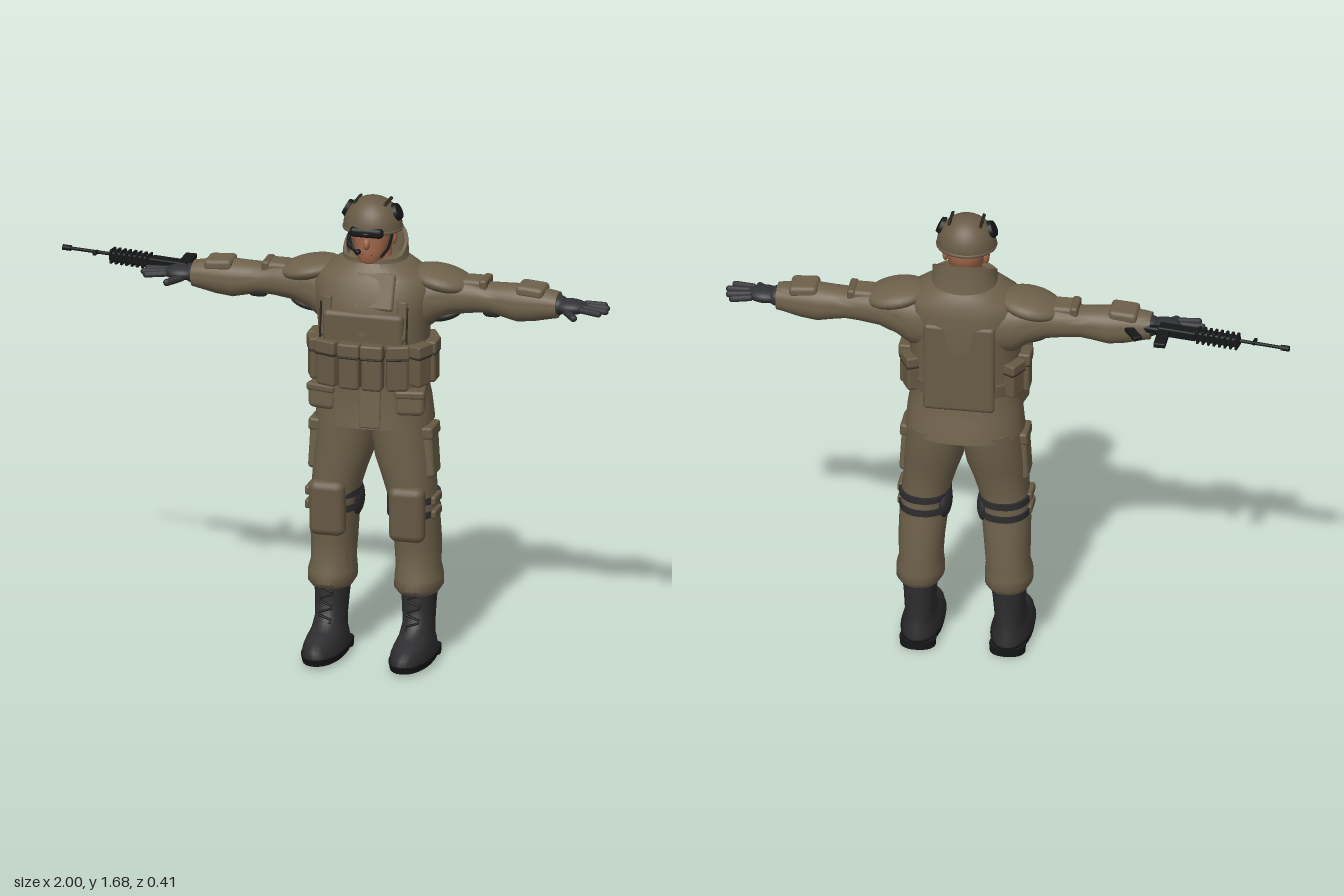
import * as THREE from 'three';
import { mergeVertices, toCreasedNormals } from 'three/addons/utils/BufferGeometryUtils.js';
import { RoundedBoxGeometry } from 'three/addons/geometries/RoundedBoxGeometry.js';

const paint = (name, color) => Object.assign(new THREE.MeshStandardMaterial({ color }), { name });
const uniform = paint('uniform tan', 0x6e614b);
const gear = paint('gear tan', 0x675a45);
const seam = paint('seam dark brown', 0x2b261e);
const leather = paint('boot black', 0x2d2d2f);
const glove = paint('glove grey', 0x313235);
const metal = paint('weapon black', 0x161718);
const skin = paint('skin', 0xa0674b);

// Skin over elliptical sections [y, cx, cz, rx, rz], listed from the bottom up
function loft(sections, crease = 0.9, seg = 32, power = 0.9) {
  const pos = [], idx = [];
  const sp = v => Math.sign(v) * Math.abs(v) ** power;
  for (const [y, cx, cz, rx, rz] of sections)
    for (let j = 0; j < seg; j++) {
      const a = (j / seg) * Math.PI * 2;
      pos.push(cx + rx * sp(Math.cos(a)), y, cz + rz * sp(Math.sin(a)));
    }
  const n = sections.length;
  for (let i = 0; i < n - 1; i++)
    for (let j = 0; j < seg; j++) {
      const k = (j + 1) % seg, a = i * seg + j, b = i * seg + k;
      idx.push(a, a + seg, b, b, a + seg, b + seg);
    }
  for (const [i, flip] of [[0, false], [n - 1, true]]) {
    const [y, cx, cz] = sections[i], c = pos.length / 3;
    pos.push(cx, y, cz);
    for (let j = 0; j < seg; j++) {
      const a = i * seg + j, b = i * seg + (j + 1) % seg;
      idx.push(c, flip ? b : a, flip ? a : b);
    }
  }
  const g = new THREE.BufferGeometry();
  g.setAttribute('position', new THREE.Float32BufferAttribute(pos, 3));
  g.setIndex(idx);
  return toCreasedNormals(g, crease);
}

const box = (w, h, d, r = 0.01) => new RoundedBoxGeometry(w, h, d, 2, Math.min(r, w / 2.1, h / 2.1, d / 2.1));
const ball = (x, y, z) => new THREE.SphereGeometry(1, 24, 16).scale(x, y, z);
const rod = (r, len) => new THREE.CylinderGeometry(r, r, len, 12).rotateZ(Math.PI / 2);

function add(parent, name, geo, mat, p = [0, 0, 0], r = [0, 0, 0]) {
  const m = new THREE.Mesh(geo, mat);
  m.name = name;
  m.position.set(...p);
  m.rotation.set(...r);
  parent.add(m);
  return m;
}

// Copy of a group reflected in x, with face order corrected
function mirrored(group, name) {
  const out = new THREE.Group();
  out.name = name;
  group.updateMatrixWorld(true);
  group.traverse(o => {
    if (!o.isMesh) return;
    const g = mergeVertices(o.geometry.clone().applyMatrix4(o.matrixWorld).scale(-1, 1, 1));
    const ix = g.index;
    for (let i = 0; i < ix.count; i += 3) {
      const t = ix.getX(i);
      ix.setX(i, ix.getX(i + 1));
      ix.setX(i + 1, t);
    }
    add(out, o.name, g, o.material);
  });
  return out;
}

function pouch(parent, x, y, z, w, h, d, ry) {
  const g = new THREE.Group();
  g.name = 'pouch';
  g.position.set(x, y, z);
  g.rotation.y = ry;
  add(g, 'pouchBody', box(w, h, d, 0.012), gear);
  add(g, 'pouchFlap', box(w + 0.006, h * 0.3, d + 0.008, 0.008), gear, [0, h * 0.36, 0]);
  add(g, 'pouchSeam', box(w + 0.002, 0.006, d + 0.004, 0.002), seam, [0, h * 0.2, 0]);
  parent.add(g);
}

function makeArm() {
  const arm = new THREE.Group();
  arm.name = 'leftArm';
  // Sleeve sections run along x, with second value as downward offset
  add(arm, 'sleeve', loft([
    [0.1, 0.03, -0.05, 0.11, 0.11], [0.18, 0.025, -0.055, 0.105, 0.1], [0.23, 0.01, -0.06, 0.083, 0.085],
    [0.29, 0, -0.06, 0.068, 0.075], [0.36, -0.002, -0.06, 0.06, 0.068], [0.41, 0.002, -0.06, 0.053, 0.06],
    [0.45, 0.005, -0.058, 0.058, 0.06], [0.51, 0.01, -0.055, 0.066, 0.064], [0.57, 0.008, -0.053, 0.061, 0.06],
    [0.63, 0.005, -0.05, 0.05, 0.053], [0.655, 0.005, -0.05, 0.045, 0.05],
  ]).rotateZ(-Math.PI / 2), uniform, [0, 1.33, 0]);
  add(arm, 'shoulderPad', ball(0.115, 0.04, 0.1), uniform, [0.235, 1.383, -0.06], [0, 0, -0.2]);
  add(arm, 'upperArmPocket', box(0.09, 0.04, 0.09, 0.015), uniform, [0.355, 1.377, -0.06]);
  add(arm, 'pocketFlap', box(0.03, 0.042, 0.094), gear, [0.39, 1.38, -0.06]);
  add(arm, 'forearmPad', box(0.1, 0.04, 0.1, 0.015), uniform, [0.56, 1.373, -0.052], [0, 0, -0.08]);
  add(arm, 'elbowPad', box(0.07, 0.06, 0.05, 0.02), leather, [0.42, 1.295, -0.04]);
  add(arm, 'underarmPatch', ball(0.06, 0.02, 0.045), leather, [0.25, 1.255, -0.05], [0, 0, 0.3]);
  // Gloved hand with spread fingers
  add(arm, 'palm', ball(0.062, 0.026, 0.047), glove, [0.7, 1.325, -0.045]);
  add(arm, 'gloveCuff', ball(0.035, 0.034, 0.042), glove, [0.655, 1.325, -0.05]);
  [[-0.082, 0.17, 0.085], [-0.058, 0.06, 0.1], [-0.033, -0.07, 0.105], [-0.01, -0.22, 0.09]].forEach(([z, a, len]) =>
    add(arm, 'finger', new THREE.CapsuleGeometry(0.0115, len - 0.023, 4, 10).rotateZ(Math.PI / 2), glove,
      [0.735 + Math.cos(a) * len / 2, 1.325, z - Math.sin(a) * len / 2], [0, a, -0.06]));
  add(arm, 'thumb', new THREE.CapsuleGeometry(0.013, 0.06, 4, 10).rotateZ(Math.PI / 2), glove, [0.71, 1.312, 0.01], [0, -0.85, -0.1]);
  return arm;
}

function makeLeg() {
  const leg = new THREE.Group();
  leg.name = 'leftLeg';
  add(leg, 'trouserLeg', loft([
    [0.245, 0.155, -0.045, 0.07, 0.09], [0.265, 0.155, -0.043, 0.083, 0.107], [0.3, 0.155, -0.045, 0.083, 0.104],
    [0.34, 0.152, -0.048, 0.076, 0.098], [0.42, 0.15, -0.05, 0.08, 0.097], [0.5, 0.145, -0.035, 0.084, 0.1],
    [0.6, 0.138, -0.025, 0.084, 0.105], [0.68, 0.122, -0.027, 0.093, 0.112], [0.74, 0.11, -0.032, 0.103, 0.12],
    [0.81, 0.1, -0.04, 0.105, 0.132], [0.89, 0.09, -0.042, 0.105, 0.137],
  ]), uniform);
  add(leg, 'cargoPocket', box(0.045, 0.18, 0.105, 0.015), uniform, [0.2, 0.765, -0.022], [0, 0, 0.06]);
  add(leg, 'cargoFlap', box(0.048, 0.045, 0.11), gear, [0.2, 0.838, -0.022], [0, 0, 0.06]);
  add(leg, 'kneePad', box(0.128, 0.2, 0.065, 0.028), gear, [0.143, 0.553, 0.068], [0.04, 0, 0]);
  for (const y of [0.545, 0.595]) {
    add(leg, 'kneeStrap', loft([[y - 0.012, 0.14, -0.03, 0.09, 0.108], [y + 0.012, 0.14, -0.03, 0.09, 0.108]]), leather);
    add(leg, 'strapBuckle', box(0.02, 0.034, 0.09), gear, [0.226, y, -0.01]);
  }
  add(leg, 'innerKneeGuard', ball(0.028, 0.065, 0.065), leather, [0.072, 0.56, -0.045]);
  // Boot with sole, heel and laces
  add(leg, 'boot', loft([
    [0.03, 0.157, 0.032, 0.068, 0.172], [0.06, 0.157, 0.034, 0.067, 0.17], [0.082, 0.157, 0.025, 0.06, 0.155],
    [0.1, 0.157, -0.008, 0.055, 0.118], [0.135, 0.157, -0.035, 0.053, 0.087], [0.2, 0.156, -0.044, 0.057, 0.08],
    [0.27, 0.155, -0.046, 0.064, 0.08],
  ]), leather);
  add(leg, 'bootSole', loft([[0.012, 0.157, 0.032, 0.07, 0.17], [0.036, 0.157, 0.033, 0.074, 0.178]]), metal);
  add(leg, 'bootHeel', loft([[0, 0.157, -0.09, 0.062, 0.05], [0.03, 0.157, -0.09, 0.064, 0.054]]), metal);
  for (let i = 0; i < 6; i++) {
    const y = 0.12 + i * 0.024, z = 0.058 - i * 0.0055;
    add(leg, 'bootLace', box(0.05, 0.007, 0.012, 0.003), metal, [0.157, y, Math.max(z, 0.035)], [0, 0, i % 2 ? 0.35 : -0.35]);
  }
  return leg;
}

function makeTorso() {
  const t = new THREE.Group();
  t.name = 'torso';
  add(t, 'jacket', loft([
    [0.87, 0, -0.035, 0.208, 0.165], [0.95, 0, -0.032, 0.2, 0.153], [1.02, 0, -0.02, 0.19, 0.145],
    [1.12, 0, -0.022, 0.192, 0.15], [1.22, 0, -0.023, 0.196, 0.162], [1.3, 0, -0.026, 0.205, 0.158],
    [1.36, 0, -0.035, 0.215, 0.148], [1.4, 0, -0.04, 0.195, 0.136], [1.435, 0, -0.042, 0.14, 0.118],
    [1.46, 0, -0.042, 0.1, 0.1],
  ], 0.9, 40), uniform);
  // Stand-up collar, raised towards the back
  const collar = loft([
    [1.4, 0, -0.045, 0.15, 0.12], [1.44, 0, -0.045, 0.115, 0.108], [1.468, 0, -0.04, 0.112, 0.103],
    [1.468, 0, -0.04, 0.1, 0.092], [1.43, 0, -0.04, 0.085, 0.075],
  ]);
  const p = collar.attributes.position;
  for (let i = 0; i < p.count; i++)
    if (p.getY(i) > 1.45) p.setY(i, p.getY(i) + 0.085 * THREE.MathUtils.clamp((0.01 - p.getZ(i)) / 0.15, 0, 1));
  collar.computeVertexNormals();
  add(t, 'collar', toCreasedNormals(collar, 0.9), uniform);
  // Vest panels and front closure
  add(t, 'chestPanel', box(0.29, 0.14, 0.04, 0.018), gear, [0, 1.225, 0.118]);
  add(t, 'chestFlap', box(0.14, 0.13, 0.02), uniform, [0.035, 1.365, 0.096], [-0.38, 0, 0]);
  add(t, 'frontPlacket', box(0.075, 0.14, 0.012), uniform, [0.025, 0.945, 0.124], [-0.08, 0, 0]);
  add(t, 'backPanel', box(0.25, 0.33, 0.03, 0.014), gear, [0, 1.165, -0.171], [0.04, 0, 0]);
  for (const s of [-1, 1]) {
    add(t, 'vestStrap', box(0.035, 0.14, 0.016), gear, [s * 0.135, 1.27, 0.112], [-0.2, s * 0.3, 0]);
    add(t, 'strapEdge', box(0.006, 0.13, 0.008, 0.002), seam, [s * 0.155, 1.255, 0.115], [-0.1, s * 0.3, 0]);
    add(t, 'hipPouch', box(0.1, 0.09, 0.12, 0.02), uniform, [s * 0.15, 0.965, 0.045], [0, s * 0.2, 0]);
    add(t, 'hipPouchFlap', box(0.106, 0.03, 0.126), gear, [s * 0.15, 0.998, 0.045], [0, s * 0.2, 0]);
  }
  add(t, 'belt', loft([[1.04, 0, -0.021, 0.2, 0.155], [1.085, 0, -0.021, 0.202, 0.158]]), gear);
  // Pouches around the waist
  for (const s of [-1, 1]) {
    pouch(t, s * 0.04, 1.105, 0.142, 0.074, 0.165, 0.06, s * 0.05);
    pouch(t, s * 0.122, 1.105, 0.122, 0.076, 0.165, 0.06, s * 0.35);
    pouch(t, s * 0.184, 1.1, 0.06, 0.07, 0.15, 0.055, s * 1.15);
    pouch(t, s * 0.2, 1.095, -0.022, 0.07, 0.15, 0.055, s * 1.57);
    pouch(t, s * 0.178, 1.1, -0.1, 0.07, 0.13, 0.05, s * 2.05);
  }
  return t;
}

function makeHead() {
  const h = new THREE.Group();
  h.name = 'head';
  add(h, 'neck', new THREE.CylinderGeometry(0.055, 0.065, 0.12, 20), skin, [0, 1.45, -0.035]);
  add(h, 'face', loft([
    [1.447, 0, 0.035, 0.022, 0.025], [1.465, 0, 0.02, 0.045, 0.055], [1.5, 0, -0.005, 0.06, 0.078],
    [1.55, 0, -0.01, 0.07, 0.085], [1.6, 0, -0.01, 0.07, 0.085], [1.63, 0, -0.01, 0.06, 0.075],
  ], 2), skin);
  add(h, 'nose', ball(0.012, 0.02, 0.016), skin, [0, 1.528, 0.078]);
  add(h, 'mouth', box(0.034, 0.006, 0.008, 0.002), seam, [0, 1.488, 0.068]);
  add(h, 'helmetShell', new THREE.SphereGeometry(1, 32, 12, 0, Math.PI * 2, 0, Math.PI / 2).scale(0.104, 0.11, 0.098), gear, [0, 1.57, -0.005]);
  add(h, 'helmetRim', new THREE.TorusGeometry(1, 0.07, 8, 32).rotateX(Math.PI / 2).scale(0.1, 0.1, 0.094), gear, [0, 1.57, -0.005]);
  add(h, 'goggles', box(0.12, 0.036, 0.035, 0.014), metal, [0, 1.572, 0.077]);
  add(h, 'microphone', ball(0.01, 0.01, 0.012), metal, [-0.03, 1.5, 0.082]);
  add(h, 'microphoneBoom', new THREE.TubeGeometry(new THREE.CatmullRomCurve3([
    new THREE.Vector3(-0.08, 1.56, 0.0), new THREE.Vector3(-0.075, 1.51, 0.05), new THREE.Vector3(-0.03, 1.5, 0.085)]), 12, 0.004, 6), metal);
  for (const s of [-1, 1]) {
    add(h, 'ear', ball(0.012, 0.03, 0.018), skin, [s * 0.071, 1.535, -0.02]);
    add(h, 'helmetDisc', new THREE.CylinderGeometry(0.028, 0.033, 0.014, 16), metal, [s * 0.09, 1.632, 0], [0, 0, -s * 1.1]);
    add(h, 'chinStrap', new THREE.TubeGeometry(new THREE.CatmullRomCurve3([
      new THREE.Vector3(s * 0.08, 1.57, 0.02), new THREE.Vector3(s * 0.062, 1.5, 0.04), new THREE.Vector3(0, 1.448, 0.055)]), 12, 0.005, 6), metal);
    add(h, 'helmetStrap', box(0.012, 0.008, 0.09, 0.003), seam, [s * 0.055, 1.664, -0.005], [0, 0, -s * 0.5]);
  }
  return h;
}

// Rifle lying on its side, muzzle towards -x
function makeRifle() {
  const r = new THREE.Group();
  r.name = 'rifle';
  r.position.set(-0.62, 1.335, -0.097);
  r.rotation.y = -0.155;
  add(r, 'receiver', box(0.14, 0.034, 0.045, 0.006), metal, [0.02, 0, 0]);
  add(r, 'handguard', box(0.16, 0.036, 0.036, 0.008), metal, [-0.125, 0, 0]);
  for (let i = 0; i < 8; i++) add(r, 'railRib', box(0.009, 0.05, 0.042, 0.002), metal, [-0.195 + i * 0.02, 0, 0]);
  add(r, 'barrel', rod(0.006, 0.17), metal, [-0.28, 0.004, 0]);
  add(r, 'muzzleBrake', rod(0.01, 0.03), metal, [-0.369, 0.004, 0]);
  add(r, 'frontSight', box(0.012, 0.012, 0.035, 0.003), metal, [-0.255, 0.004, 0.01]);
  add(r, 'magazine', box(0.042, 0.018, 0.1, 0.004), metal, [0.06, 0, -0.065], [0, 0.15, 0]);
  add(r, 'pistolGrip', box(0.032, 0.018, 0.085, 0.006), metal, [0.165, 0, -0.06], [0, 0.75, 0]);
  add(r, 'stock', box(0.1, 0.025, 0.03, 0.008), metal, [0.13, 0, -0.01]);
  return r;
}

export function createModel() {
  const model = new THREE.Group();
  model.name = 'soldier';
  const body = new THREE.Group();
  body.name = 'body';
  const arm = makeArm(), leg = makeLeg();
  body.add(makeTorso(), makeHead(), mirrored(arm, 'rightArm'), mirrored(leg, 'rightLeg'), arm, leg);
  body.position.x = 0.155;
  model.add(body, makeRifle());
  return model;
}
